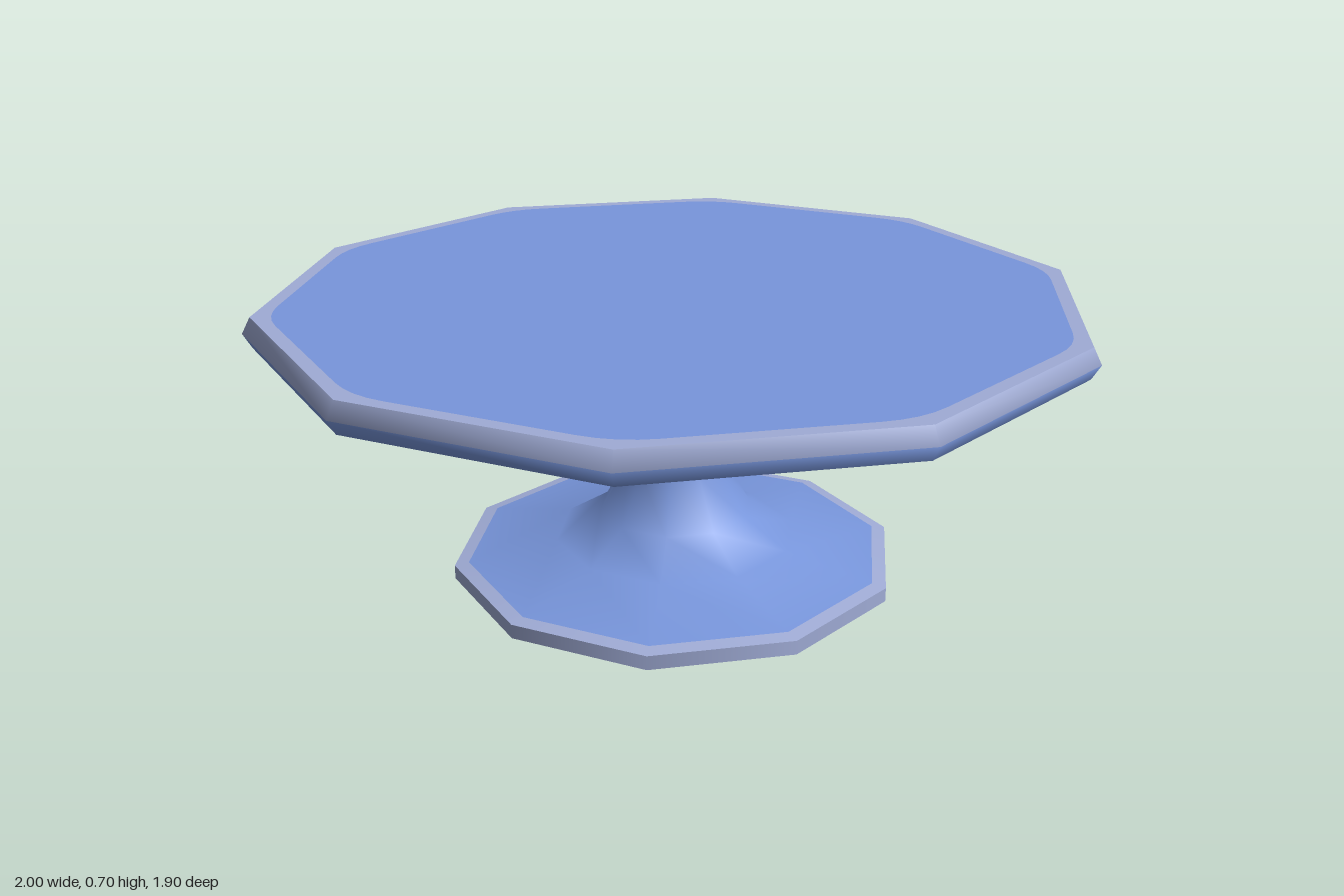
import * as THREE from 'three';

const SIDES = 10;

export function createModel() {
  const blue = new THREE.MeshStandardMaterial({ color: 0x7896dc });
  blue.name = 'blue glaze';
  const grey = new THREE.MeshStandardMaterial({ color: 0xa0acd6 });
  grey.name = 'pale worn edge';

  const model = new THREE.Group();
  model.name = 'cakeStand';

  const add = (name, geometry, material) => {
    const mesh = new THREE.Mesh(geometry, material);
    mesh.name = name;
    model.add(mesh);
    return mesh;
  };

  // Ten-sided turned part with a corner on +x; bands picks a material per profile segment
  const turned = (name, profile, bands) => {
    const points = profile.map(([r, y]) => new THREE.Vector2(r, y));
    const geometry = new THREE.LatheGeometry(points, SIDES, Math.PI / 2);
    const n = points.length - 1;
    for (let i = 0; i < SIDES; i++) {
      for (let j = 0; j < n; j++) geometry.addGroup((i * n + j) * 6, 6, bands[j] ?? 0);
    }
    return add(name, geometry, [blue, grey]);
  };

  const corner = (radius, i) => {
    const a = (i / SIDES) * Math.PI * 2;
    return new THREE.Vector2(Math.cos(a) * radius, Math.sin(a) * radius);
  };

  // Decagon outline with softened corners
  const softDecagon = (path, radius, cut) => {
    for (let i = 0; i < SIDES; i++) {
      const c = corner(radius, i);
      const before = c.clone().lerp(corner(radius, i - 1), cut);
      const after = c.clone().lerp(corner(radius, i + 1), cut);
      if (i === 0) path.moveTo(before.x, before.y);
      else path.lineTo(before.x, before.y);
      path.quadraticCurveTo(c.x, c.y, after.x, after.y);
    }
    path.closePath();
    return path;
  };

  const flat = (shape, y) =>
    new THREE.ShapeGeometry(shape, 4).rotateX(-Math.PI / 2).translate(0, y, 0);

  // Foot: underside and upright edge
  turned('footUnderside', [[0, 0], [0.555, 0]], [0]);
  turned('footEdge', [[0.555, 0], [0.555, 0.035]], [1]);

  // Foot slope sweeping into the stem and flaring under the plate
  turned('pedestal', [
    [0.555, 0.035], [0.52, 0.041], [0.3, 0.08], [0.19, 0.15], [0.12, 0.27],
    [0.105, 0.4], [0.11, 0.525], [0.2, 0.63],
  ], [1]);

  // Plate: underside, bevelled rim and top
  turned('plateUnderside', [[0, 0.63], [0.98, 0.63]], [0]);
  turned('plateRim', [[0.98, 0.63], [1, 0.665], [0.98, 0.703]], [0, 1]);

  const border = new THREE.Shape(Array.from({ length: SIDES }, (_, i) => corner(0.98, i)));
  border.holes.push(softDecagon(new THREE.Path(), 0.945, 0.14));
  add('plateBorder', flat(border, 0.703), grey);
  add('plateTop', flat(softDecagon(new THREE.Shape(), 0.945, 0.14), 0.703), blue);

  return model;
}
